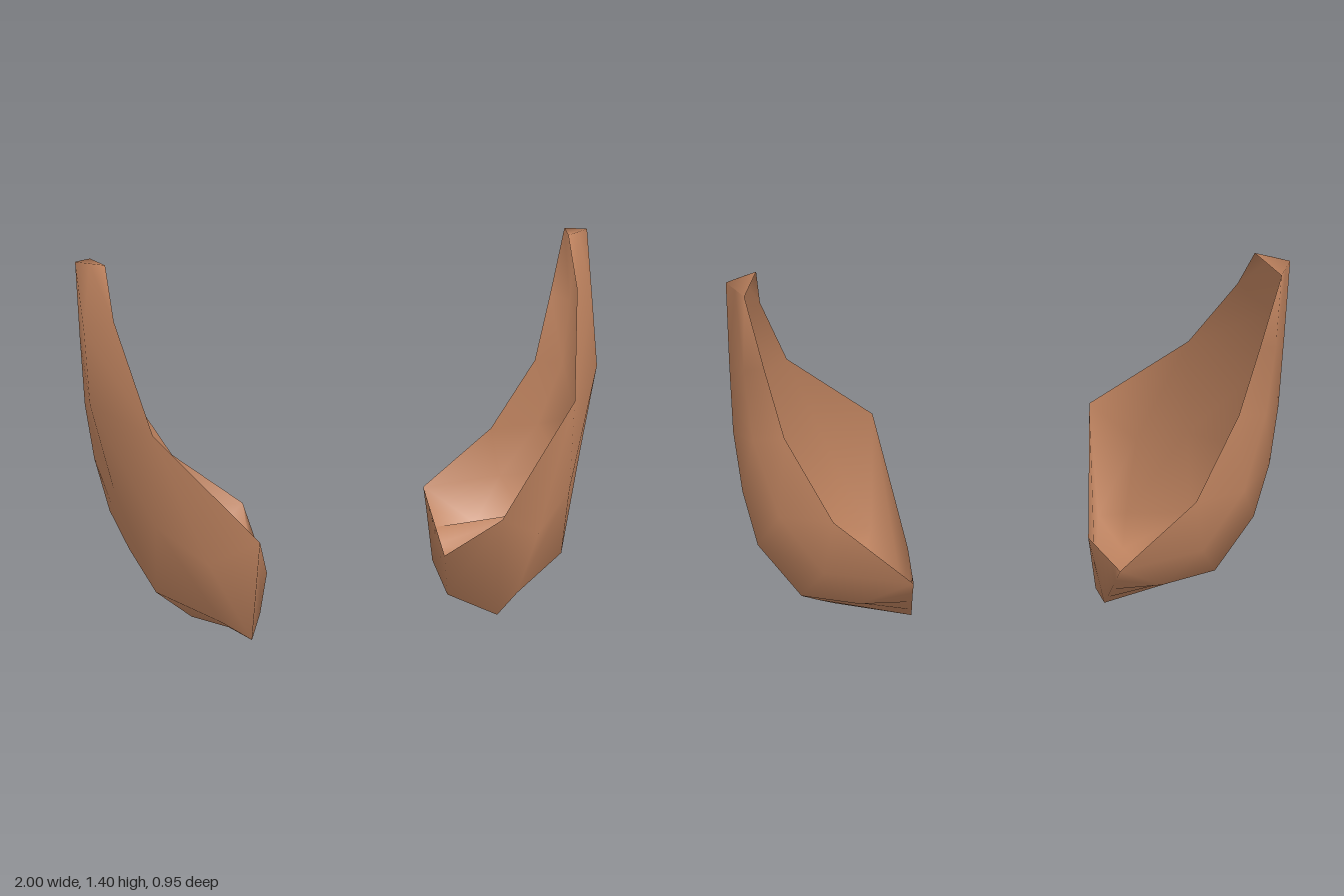
import * as THREE from 'three';
import { mergeVertices } from 'three/addons/utils/BufferGeometryUtils.js';

// Key corners of the left plate
const tip = [0.445, 0.59, 0.475], toe = [0.47, 0.13, 0.37];
const notch = [0.355, 0.2, 0], heel = [0.38, 0.27, -0.48];
const peak = [0.89, 1.4, -0.28], spur = [0.935, 1.365, -0.47];
const brow = [0.88, 1.24, -0.11], cheek = [0.785, 0.92, 0.215];
const lerp = (a, b, t) => a.map((v, i) => v + (b[i] - v) * t);

// Sections of the cupped sheet, each running front to back, listed from the top
// fold down the outside, under the bottom and up to the inner rim
const sections = [
  // inner edge of the small fold at the top
  [peak, peak, peak, peak, peak, spur, spur],
  // outside
  [peak, peak, peak, [0.945, 1.395, -0.325], [0.995, 1.39, -0.37], [0.965, 1.378, -0.42], spur],
  [brow, brow, brow, [0.985, 1.16, -0.235], [0.998, 1.1, -0.34], [0.95, 1.08, -0.4], [0.88, 1.1, -0.442]],
  [cheek, cheek, cheek, [0.985, 0.91, -0.13], [0.997, 0.83, -0.32], [0.93, 0.82, -0.39], [0.82, 0.83, -0.415]],
  [tip, [0.62, 0.46, 0.365], [0.79, 0.546, 0.195], [0.92, 0.58, -0.08], [0.975, 0.6, -0.32], [0.85, 0.54, -0.43], [0.66, 0.52, -0.465]],
  [toe, [0.57, 0.17, 0.29], [0.796, 0.23, 0.12], [0.875, 0.31, -0.1], [0.93, 0.38, -0.3], [0.7, 0.315, -0.44], heel],
  // underside
  [toe, [0.53, 0.07, 0.16], [0.65, 0.01, -0.05], [0.72, 0.1, -0.2], [0.78, 0.18, -0.33], [0.57, 0.145, -0.355], heel],
  [toe, [0.38, 0, -0.04], [0.37, 0.04, -0.26], [0.372, 0.082, -0.3], [0.375, 0.14, -0.355], [0.378, 0.203, -0.415], heel],
  // inner rim
  [tip, notch, ...[0.4, 0.55, 0.7, 0.85].map((t) => lerp(notch, heel, t)), heel],
];

// Smooth sheet through rows of points; side mirrors it in x
function loft(rows, side) {
  const n = rows[0].length, index = [];
  const pos = rows.flat().flatMap(([x, y, z]) => [x * side, y, z]);
  const same = (i, j) => [0, 1, 2].every((k) => pos[i * 3 + k] === pos[j * 3 + k]);
  const tri = (a, b, c) => {
    if (same(a, b) || same(b, c) || same(a, c)) return;
    index.push(...(side < 0 ? [a, c, b] : [a, b, c]));
  };
  for (let r = 0; r < rows.length - 1; r++) {
    for (let c = 0; c < n - 1; c++) {
      const p = r * n + c;
      tri(p, p + n, p + 1);
      tri(p + 1, p + n, p + n + 1);
    }
  }
  const g = new THREE.BufferGeometry();
  g.setAttribute('position', new THREE.Float32BufferAttribute(pos, 3));
  g.setIndex(index);
  const merged = mergeVertices(g);
  merged.computeVertexNormals();
  return merged;
}

export function createModel() {
  const model = new THREE.Group();
  model.name = 'curvedPlates';
  const tan = new THREE.MeshStandardMaterial({ color: 0xbf835f, side: THREE.DoubleSide });
  tan.name = 'tan';

  for (const [name, side] of [['leftPlate', 1], ['rightPlate', -1]]) {
    const plate = new THREE.Mesh(loft(sections, side), tan);
    plate.name = name;
    model.add(plate);
  }
  return model;
}
